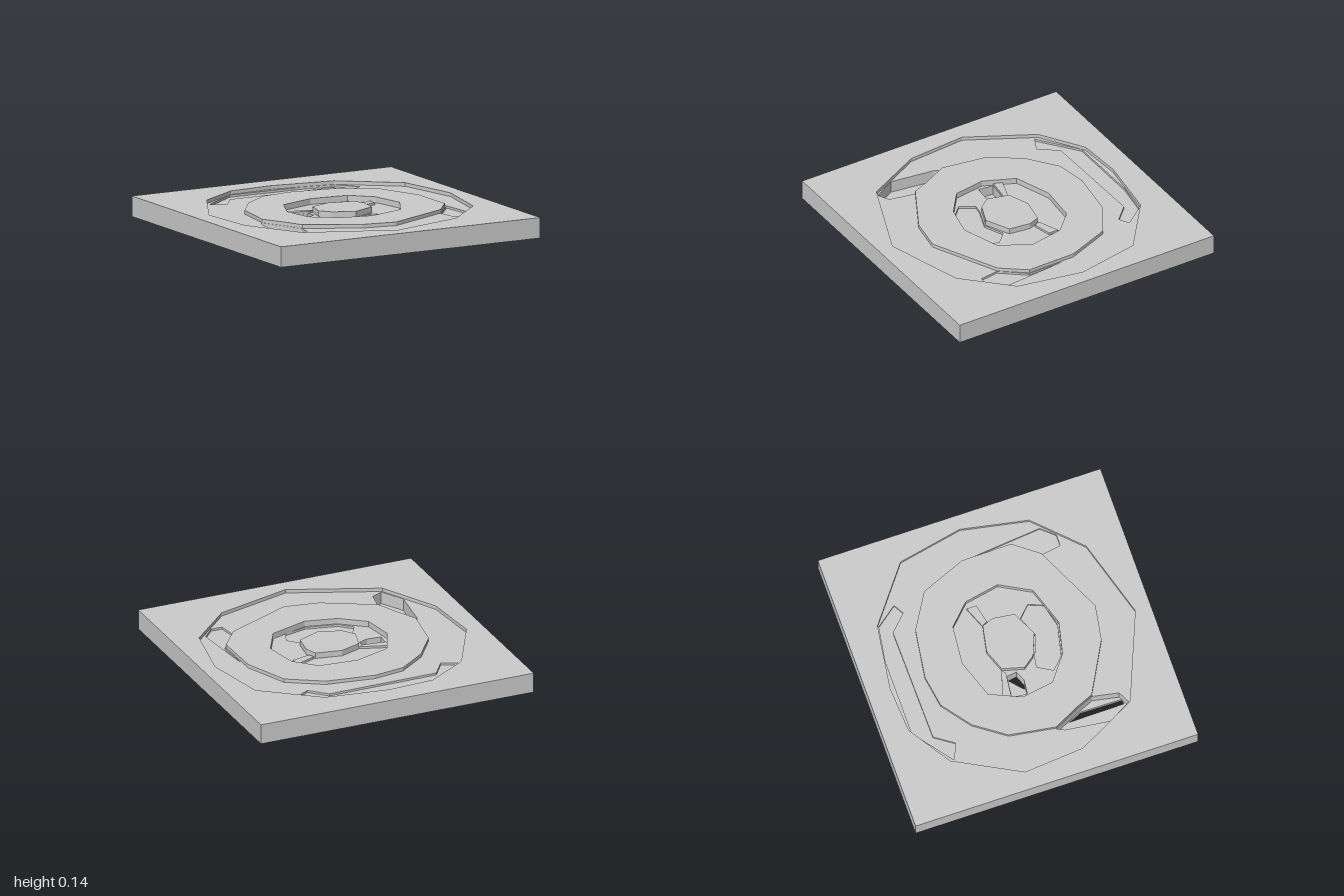
import * as THREE from 'three';

const material = new THREE.MeshStandardMaterial({ color: 0xcccccc, flatShading: true });

// Ground outlines, given as [x, z] corners, all in the same turning direction
const slabEdge = [[-1, -1], [1, -1], [1, 1], [-1, 1]];
const outerRing = [[-0.34, -0.82], [-0.02, -0.84], [0.43, -0.775], [0.81, -0.48], [0.9, -0.03], [0.81, 0.43],
  [0.51, 0.73], [-0.03, 0.89], [-0.63, 0.645], [-0.84, 0.24], [-0.875, -0.18], [-0.635, -0.63]];
const islandEdge = [[-0.24, -0.56], [-0.02, -0.595], [0.32, -0.545], [0.56, -0.4], [0.685, -0.09], [0.69, 0.26],
  [0.56, 0.43], [0.09, 0.65], [-0.15, 0.61], [-0.5, 0.42], [-0.55, 0.3], [-0.64, 0.12], [-0.59, -0.2], [-0.44, -0.41]];
const innerRing = [[-0.27, -0.235], [-0.01, -0.325], [0.26, -0.3], [0.4, -0.16], [0.445, 0.08], [0.33, 0.29],
  [0.06, 0.38], [-0.16, 0.33], [-0.33, 0.2], [-0.365, -0.02]];
const pillarEdge = [[-0.13, -0.09], [0.02, -0.145], [0.2, -0.11], [0.23, -0.03], [0.21, 0.12], [0.04, 0.2],
  [-0.11, 0.14], [-0.17, 0.06]];

// Shallow and deep cuts in the sunken floors
const backTrench = [[-0.36, -0.805], [0.18, -0.805], [0.43, -0.765], [0.54, -0.62], [0.47, -0.58], [0.36, -0.69],
  [-0.43, -0.68], [-0.52, -0.55], [-0.63, -0.6]];
const rightTrench = [[0.695, 0], [0.74, 0.48], [0.66, 0.57], [0.58, 0.57], [0.56, 0.435], [0.695, 0.265]];
const leftTrench = [[-0.71, 0.48], [-0.67, 0.17], [-0.645, 0.12], [-0.555, 0.3], [-0.505, 0.42], [-0.54, 0.6], [-0.62, 0.64]];
const frontPocket = [[-0.18, 0.14], [-0.12, 0.15], [0.04, 0.21], [0.18, 0.15], [0.26, 0.23], [0.22, 0.33],
  [0.06, 0.37], [-0.16, 0.32], [-0.24, 0.24]];
const leftPocket = [[-0.33, -0.085], [-0.18, -0.07], [-0.17, 0], [-0.24, 0.03], [-0.34, 0.02]];
const leftSlot = [[-0.6, 0.22], [-0.555, 0.32], [-0.56, 0.61], [-0.595, 0.615]];
const innerSlot = [[-0.28, 0.02], [-0.18, -0.07], [-0.17, 0], [-0.24, 0.03]];
const rightRidge = [[0.21, -0.11], [0.36, -0.17], [0.36, -0.1], [0.23, -0.07]];
const leftRidge = [[-0.31, -0.15], [-0.13, -0.09], [-0.16, -0.07], [-0.33, -0.09]];

const toPoints = (outline) => outline.map(([x, z]) => new THREE.Vector2(x, -z));

// Flat-topped layer between two heights, pierced by the given outlines
function layer(name, outline, bottom, top, holes = []) {
  const shape = new THREE.Shape(toPoints(outline));
  // Holes run the opposite way so that their walls face inwards
  for (const hole of holes) shape.holes.push(new THREE.Path(toPoints(hole).reverse()));
  const geometry = new THREE.ExtrudeGeometry(shape, { depth: top - bottom, bevelEnabled: false });
  geometry.rotateX(-Math.PI / 2);
  geometry.translate(0, bottom, 0);
  const mesh = new THREE.Mesh(geometry, material);
  mesh.name = name;
  return mesh;
}

export function createModel() {
  const model = new THREE.Group();
  model.name = 'carvedSlab';
  const top = 0.14;
  const ringFloor = 0.115;
  const innerFloor = 0.1;
  const pocketFloor = 0.085;
  const deepFloor = 0.03;

  model.add(
    // Base, open where the deepest cuts break through
    layer('base', slabEdge, 0, deepFloor, [leftSlot, innerSlot]),
    layer('lowerSlab', slabEdge, deepFloor, pocketFloor, [leftTrench, leftPocket]),
    // Floors of the inner and outer rings with their trenches
    layer('innerFloor', slabEdge, pocketFloor, innerFloor, [leftTrench, leftPocket, frontPocket]),
    layer('ringFloor', slabEdge, innerFloor, ringFloor, [backTrench, rightTrench, leftTrench, innerRing]),
    // Rim, raised island and central pillar
    layer('rim', slabEdge, ringFloor, top, [outerRing]),
    layer('island', islandEdge, ringFloor, top, [innerRing]),
    layer('pillar', pillarEdge, innerFloor, top),
    // Low ridges joining the pillar to the inner wall
    layer('rightRidge', rightRidge, innerFloor, 0.115),
    layer('leftRidge', leftRidge, innerFloor, 0.115),
  );
  return model;
}
